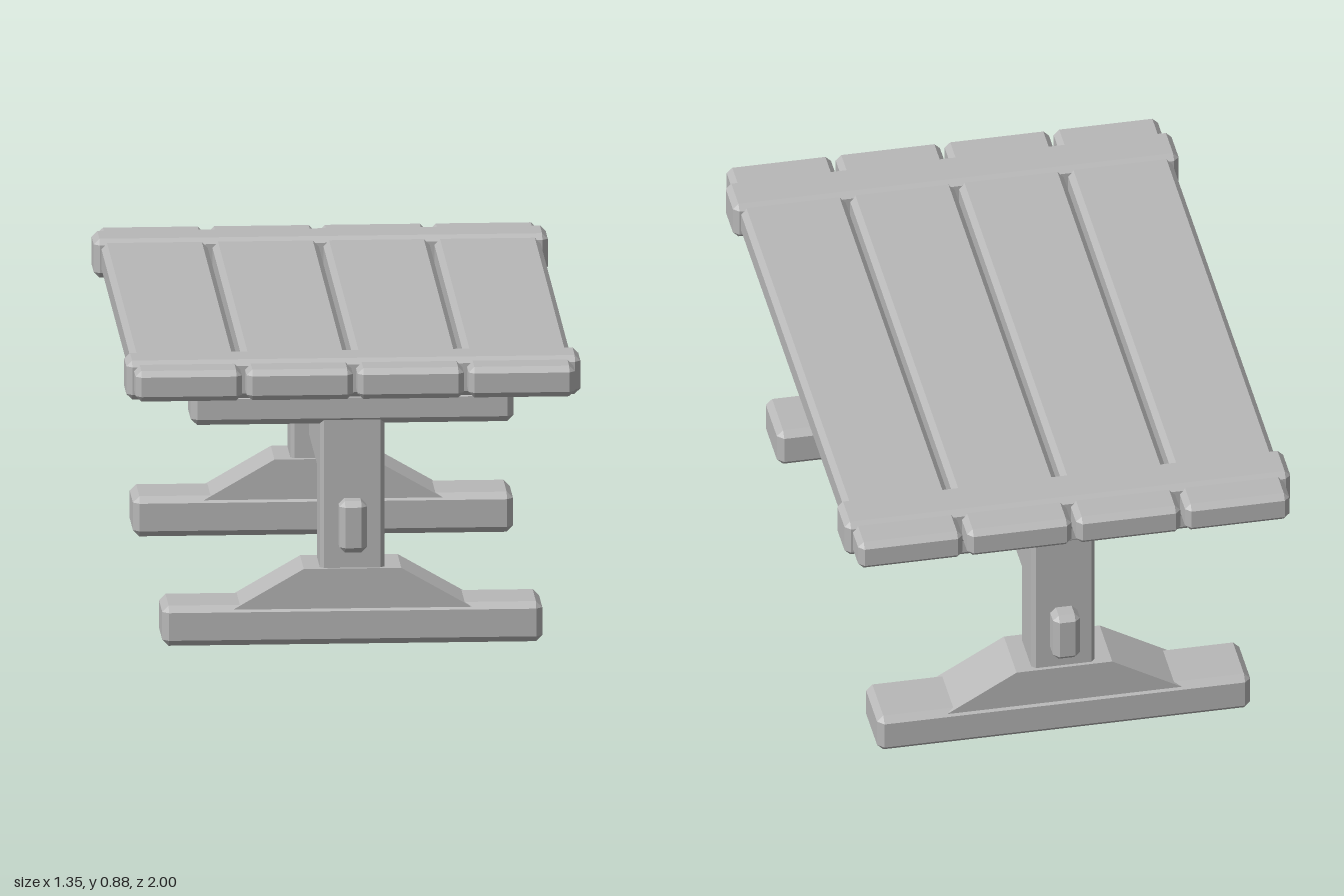
import * as THREE from 'three';
import { ConvexGeometry } from 'three/addons/geometries/ConvexGeometry.js';

const wood = new THREE.MeshStandardMaterial({ color: 0xb8b8b8 });
wood.name = 'plain grey';

// Box with all edges chamfered by c
function chamferBox(w, h, d, c) {
  const points = [];
  for (const sx of [-1, 1]) for (const sy of [-1, 1]) for (const sz of [-1, 1]) {
    const x = w / 2, y = h / 2, z = d / 2;
    points.push(
      new THREE.Vector3(sx * x, sy * (y - c), sz * (z - c)),
      new THREE.Vector3(sx * (x - c), sy * y, sz * (z - c)),
      new THREE.Vector3(sx * (x - c), sy * (y - c), sz * z));
  }
  return new ConvexGeometry(points);
}

export function createModel() {
  const table = new THREE.Group();
  table.name = 'trestleTable';

  const add = (name, geometry, x, y, z) => {
    const mesh = new THREE.Mesh(geometry, wood);
    mesh.name = name;
    mesh.position.set(x, y, z);
    table.add(mesh);
  };
  // Chamfered beam spanning y0..y1, centred on x and z
  const beam = (name, w, y0, y1, d, x, z, c = 0.017) =>
    add(name, chamferBox(w, y1 - y0, d, c), x, (y0 + y1) / 2, z);

  // Table top planks
  [-0.495, -0.165, 0.165, 0.495].forEach((x, i) =>
    beam(`plank${i + 1}`, 0.316, 0.777, 0.87, 2, x, 0));

  // Sloped brace profile between foot and post
  const brace = new THREE.Shape([
    new THREE.Vector2(-0.355, 0.11), new THREE.Vector2(0.355, 0.11),
    new THREE.Vector2(0.145, 0.231), new THREE.Vector2(-0.145, 0.231)]);
  const braceGeometry = new THREE.ExtrudeGeometry(brace, { depth: 0.19, bevelEnabled: false });
  braceGeometry.translate(0, 0, -0.095);

  // The two mirrored end trestles
  for (const [end, s] of [['front', 1], ['back', -1]]) {
    beam(`${end}Batten`, 1.35, 0.763, 0.881, 0.14, 0, s * 0.835);
    beam(`${end}Support`, 0.96, 0.668, 0.768, 0.176, 0, s * 0.752, 0.019);
    beam(`${end}Post`, 0.192, 0.215, 0.785, 0.163, 0, s * 0.752, 0.012);
    add(`${end}Brace`, braceGeometry, 0, 0, s * 0.75);
    beam(`${end}Foot`, 1.13, 0, 0.122, 0.202, 0, s * 0.75, 0.019);
  }

  // Stretcher running through both posts
  beam('stretcher', 0.082, 0.286, 0.443, 1.786, 0, 0);

  return table;
}
